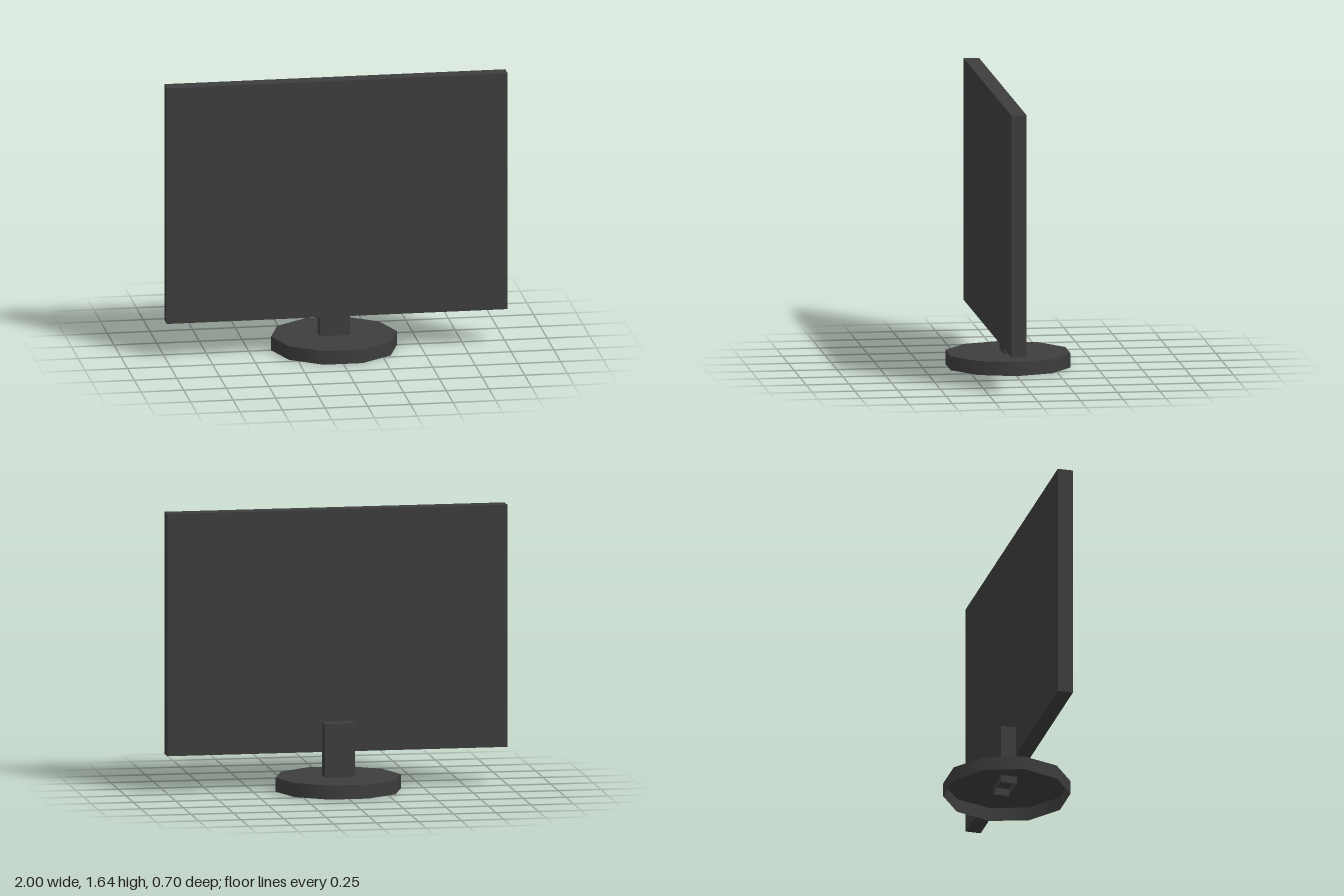
import * as THREE from 'three';

export function createModel() {
  const model = new THREE.Group();
  model.name = 'monitor';
  const charcoal = new THREE.MeshStandardMaterial({ color: 0x3d3d3d, side: THREE.DoubleSide });
  charcoal.name = 'charcoal plastic';

  const add = (name, geometry, x, y, z, parent = model) => {
    const mesh = new THREE.Mesh(geometry, charcoal);
    mesh.name = name;
    mesh.position.set(x, y, z);
    parent.add(mesh);
    return mesh;
  };

  // Flat display panel
  add('screenPanel', new THREE.BoxGeometry(2, 1.42, 0.09), 0, 0.93, 0.075);

  // Neck: a box open underneath, reaching a little way into the base
  const neck = new THREE.BoxGeometry(0.176, 0.36, 0.096);
  const faces = Array.from(neck.index.array);
  faces.splice(18, 6); // drop the bottom face
  neck.setIndex(faces);
  neck.clearGroups();
  add('neck', neck, 0, 0.217, -0.011);

  // Ten-sided hollow base: smooth rim and flat top, open underneath
  const base = new THREE.Group();
  base.name = 'base';
  model.add(base);
  const radius = 0.369, height = 0.082, sides = 10;
  const rim = new THREE.CylinderGeometry(radius, radius, height, sides, 1, true);
  rim.rotateY(Math.PI / sides);
  add('baseRim', rim, 0, height / 2, 0, base);
  const top = new THREE.CircleGeometry(radius, sides);
  top.rotateX(-Math.PI / 2);
  add('baseTop', top, 0, height, 0, base);

  return model;
}
